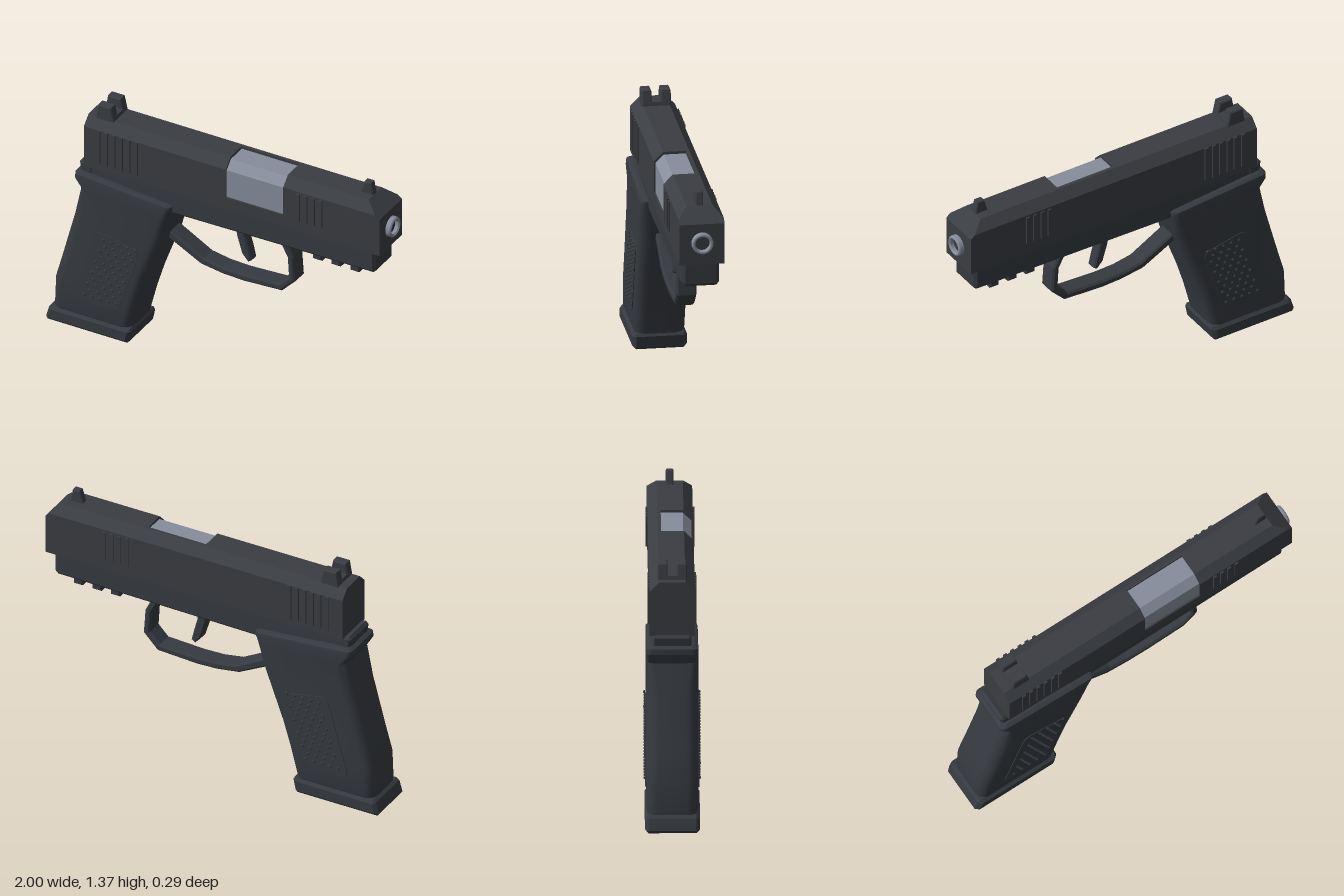
import * as THREE from 'three';
import { mergeGeometries, toCreasedNormals } from 'three/addons/utils/BufferGeometryUtils.js';

const material = (name, color, side = THREE.FrontSide) => {
  const m = new THREE.MeshStandardMaterial({ color, side });
  m.name = name;
  return m;
};

const shapeOf = (pts) => new THREE.Shape(pts.map(([x, y]) => new THREE.Vector2(x, y)));

// Side outline (x, y) extruded across z, centred, with chamfered rims
function sideSolid(pts, half, bevel = 0.01) {
  const g = new THREE.ExtrudeGeometry(shapeOf(pts), {
    depth: 2 * (half - bevel), bevelEnabled: bevel > 0, bevelThickness: bevel,
    bevelSize: bevel, bevelOffset: -bevel, bevelSegments: 1,
  });
  return g.translate(0, 0, -(half - bevel));
}

// Cross-section (z, y) extruded along x
function lengthSolid(pts, x0, x1) {
  const g = new THREE.ExtrudeGeometry(shapeOf(pts.map(([z, y]) => [-z, y])), {
    depth: x1 - x0, bevelEnabled: false,
  });
  return g.rotateY(Math.PI / 2).translate(x0, 0, 0);
}

// Loft of rounded rectangles: [rearX, rearY, frontX, frontY, halfWidth, cornerRadius]
function loft(sections) {
  const steps = 5, n = 4 * (steps + 1), pos = [], idx = [];
  for (const [rx, ry, fx, fy, w, r] of sections) {
    const len = fx - rx;
    for (let c = 0; c < 4; c++) {
      for (let s = 0; s <= steps; s++) {
        const a = (c + s / steps) * Math.PI / 2;
        const cx = c === 0 || c === 3 ? len - r : r;
        const cz = c < 2 ? w - r : r - w;
        const x = cx + r * Math.cos(a);
        pos.push(rx + x, ry + (fy - ry) * x / len, cz + r * Math.sin(a));
      }
    }
  }
  for (let k = 0; k < sections.length - 1; k++) {
    for (let i = 0; i < n; i++) {
      const a = k * n + i, b = k * n + (i + 1) % n;
      idx.push(a, a + n, b, b, a + n, b + n);
    }
  }
  const top = (sections.length - 1) * n;
  for (let i = 1; i < n - 1; i++) idx.push(0, i, i + 1, top, top + i + 1, top + i);
  const g = new THREE.BufferGeometry();
  g.setAttribute('position', new THREE.Float32BufferAttribute(pos, 3));
  g.setIndex(idx);
  return toCreasedNormals(g, 0.5);
}

// Parallelogram outline with rounded corners
function roundedPanel(pts, r) {
  const v = pts.map(([x, y]) => new THREE.Vector2(x, y));
  const s = new THREE.Shape();
  v.forEach((p, i) => {
    const toward = (q) => p.clone().add(q.clone().sub(p).setLength(r));
    const a = toward(v[(i + 3) % 4]), b = toward(v[(i + 1) % 4]);
    if (i === 0) s.moveTo(a.x, a.y); else s.lineTo(a.x, a.y);
    s.quadraticCurveTo(p.x, p.y, b.x, b.y);
  });
  s.closePath();
  return s;
}

export function createModel() {
  const model = new THREE.Group();
  const slideMat = material('slide charcoal', 0x3a3d42);
  const frameMat = material('frame charcoal', 0x363a40);
  const steel = material('barrel steel', 0x868d9b);
  const add = (name, geometry, mat) => {
    const m = new THREE.Mesh(geometry, mat);
    m.name = name;
    model.add(m);
    return m;
  };

  // Slide: rear and front blocks, with a cut-away middle at the port
  const profile = [[-0.117, 1], [0.117, 1], [0.117, 1.22], [0.117, 1.24], [0.068, 1.29],
    [-0.068, 1.29], [-0.117, 1.24], [-0.117, 1.22]];
  add('slideRear', lengthSolid(profile, -0.78, 0.06), slideMat);
  add('slideMiddle', lengthSolid([[-0.117, 1], [0.117, 1], [0.117, 1.07], [-0.05, 1.07],
    [-0.05, 1.29], [-0.068, 1.29], [-0.117, 1.24]], 0.06, 0.4), slideMat);
  const front = lengthSolid(profile, 0.4, 0.97);
  const p = front.attributes.position;
  for (let i = 0; i < p.count; i++) {
    if (p.getX(i) > 0.9) p.setX(i, 0.97 - Math.max(0, p.getY(i) - 1.22) * 1.29);
  }
  front.computeVertexNormals();
  add('slideFront', front, slideMat);
  add('chamber', lengthSolid([[-0.05, 1.07], [0.108, 1.07], [0.108, 1.232], [0.064, 1.276],
    [-0.05, 1.276]], 0.06, 0.4), steel);

  // Raised grip ribs on both sides of the slide
  const ribs = [];
  const rib = (x, y0, y1) => {
    for (const s of [-1, 1]) {
      ribs.push(new THREE.BoxGeometry(0.02, y1 - y0, 0.02).translate(x, (y0 + y1) / 2, s * 0.116));
    }
  };
  for (let i = 0; i < 6; i++) rib(-0.692 + i * 0.0445, 1.04, 1.24);
  for (let i = 0; i < 4; i++) rib(0.49 + i * 0.044, 1.065, 1.23);
  add('slideRibs', mergeGeometries(ribs), slideMat);

  // Muzzle ring and dark bore
  const ring = new THREE.LatheGeometry([[0.038, -0.02], [0.038, 0.024], [0.044, 0.03],
    [0.05, 0.03], [0.056, 0.024], [0.056, -0.02]]
    .map(([r, y]) => new THREE.Vector2(r, y)).reverse(), 24);
  const muzzle = add('muzzleRing', toCreasedNormals(ring, 0.5), steel);
  muzzle.material = material('muzzle steel', 0x868d9b, THREE.DoubleSide);
  muzzle.rotation.z = -Math.PI / 2;
  muzzle.position.set(0.97, 1.12, 0);
  const bore = add('bore', new THREE.CircleGeometry(0.04, 24), frameMat);
  bore.rotation.y = Math.PI / 2;
  bore.position.set(0.975, 1.12, 0);

  // Sights
  for (const s of [-1, 1]) {
    add('rearSightPost', sideSolid([[-0.735, 1.28], [-0.625, 1.28], [-0.645, 1.368],
      [-0.72, 1.368]], 0.026, 0.006).translate(0, 0, s * 0.05), slideMat);
  }
  add('rearSightBase', sideSolid([[-0.735, 1.28], [-0.625, 1.28], [-0.63, 1.31],
    [-0.73, 1.31]], 0.07, 0.004), slideMat);
  add('frontSight', sideSolid([[0.8, 1.28], [0.88, 1.28], [0.865, 1.358], [0.825, 1.358]],
    0.02, 0.005), slideMat);

  // Frame, rear tang and accessory rail
  add('frame', sideSolid([[-0.79, 1.002], [-0.79, 0.86], [-0.27, 0.85], [0.915, 0.865],
    [0.93, 0.88], [0.93, 1.002]], 0.096, 0.015), frameMat);
  add('frameTang', sideSolid([[-0.81, 0.93], [-0.74, 0.93], [-0.74, 1.005], [-0.775, 1.005],
    [-0.805, 1.015], [-0.82, 1.0]], 0.1, 0.012), frameMat);
  for (const x of [0.58, 0.69, 0.8]) {
    add('railTooth', sideSolid([[x - 0.027, 0.88], [x - 0.027, 0.832], [x + 0.027, 0.832],
      [x + 0.027, 0.88]], 0.08, 0.006), frameMat);
  }

  // Grip
  add('grip', loft([
    [-0.965, 0.08, -0.505, 0.08, 0.125, 0.05],
    [-0.965, 0.11, -0.5, 0.11, 0.133, 0.055],
    [-0.96, 0.26, -0.46, 0.26, 0.135, 0.06],
    [-0.92, 0.41, -0.415, 0.4, 0.135, 0.065],
    [-0.848, 0.68, -0.312, 0.68, 0.135, 0.065],
    [-0.803, 0.86, -0.275, 0.84, 0.135, 0.045],
    [-0.835, 0.915, -0.266, 0.885, 0.135, 0.03],
    [-0.835, 0.945, -0.266, 0.9, 0.132, 0.03],
    [-0.815, 0.957, -0.275, 0.906, 0.115, 0.03],
  ]), frameMat);
  add('basePlate', sideSolid([[-1, 0.015], [-0.99, 0], [-0.52, 0], [-0.508, 0.012],
    [-0.495, 0.075], [-0.505, 0.09], [-0.965, 0.09], [-0.982, 0.078]], 0.142, 0.018), frameMat);

  // Textured side panels with staggered studs
  const panel = roundedPanel([[-0.828, 0.185], [-0.57, 0.185], [-0.438, 0.585], [-0.698, 0.64]], 0.045);
  const studs = [];
  for (const s of [-1, 1]) {
    const g = new THREE.ExtrudeGeometry(panel, { depth: 0.006, bevelEnabled: false, curveSegments: 4 });
    add('gripPanel', g.translate(0, 0, s > 0 ? 0.133 : -0.139), frameMat);
    for (let row = 0; row < 11; row++) {
      const y = 0.228 + row * 0.0365, odd = row % 2;
      for (let i = 0; i < 5 - odd; i++) {
        const x = -0.768 + (y - 0.228) * 0.31 + (i + odd / 2) * 0.048;
        studs.push(new THREE.CylinderGeometry(0.005, 0.011, 0.01, 6)
          .rotateX(s * Math.PI / 2).translate(x, y, s * 0.142));
      }
    }
  }
  add('gripStuds', mergeGeometries(studs), frameMat);

  // Trigger guard and trigger
  add('triggerGuard', sideSolid([[-0.33, 0.67], [-0.13, 0.565], [0, 0.545], [0.12, 0.54],
    [0.35, 0.552], [0.432, 0.635], [0.422, 0.775], [0.37, 0.88], [0.325, 0.88],
    [0.385, 0.765], [0.392, 0.65], [0.335, 0.592], [0.12, 0.582], [0, 0.586],
    [-0.11, 0.605], [-0.33, 0.725]], 0.052, 0.01), frameMat);
  add('trigger', sideSolid([[0.06, 0.88], [0.075, 0.79], [0.105, 0.69], [0.14, 0.652],
    [0.16, 0.665], [0.145, 0.73], [0.125, 0.8], [0.125, 0.88]], 0.032, 0.008), frameMat);

  return model;
}
